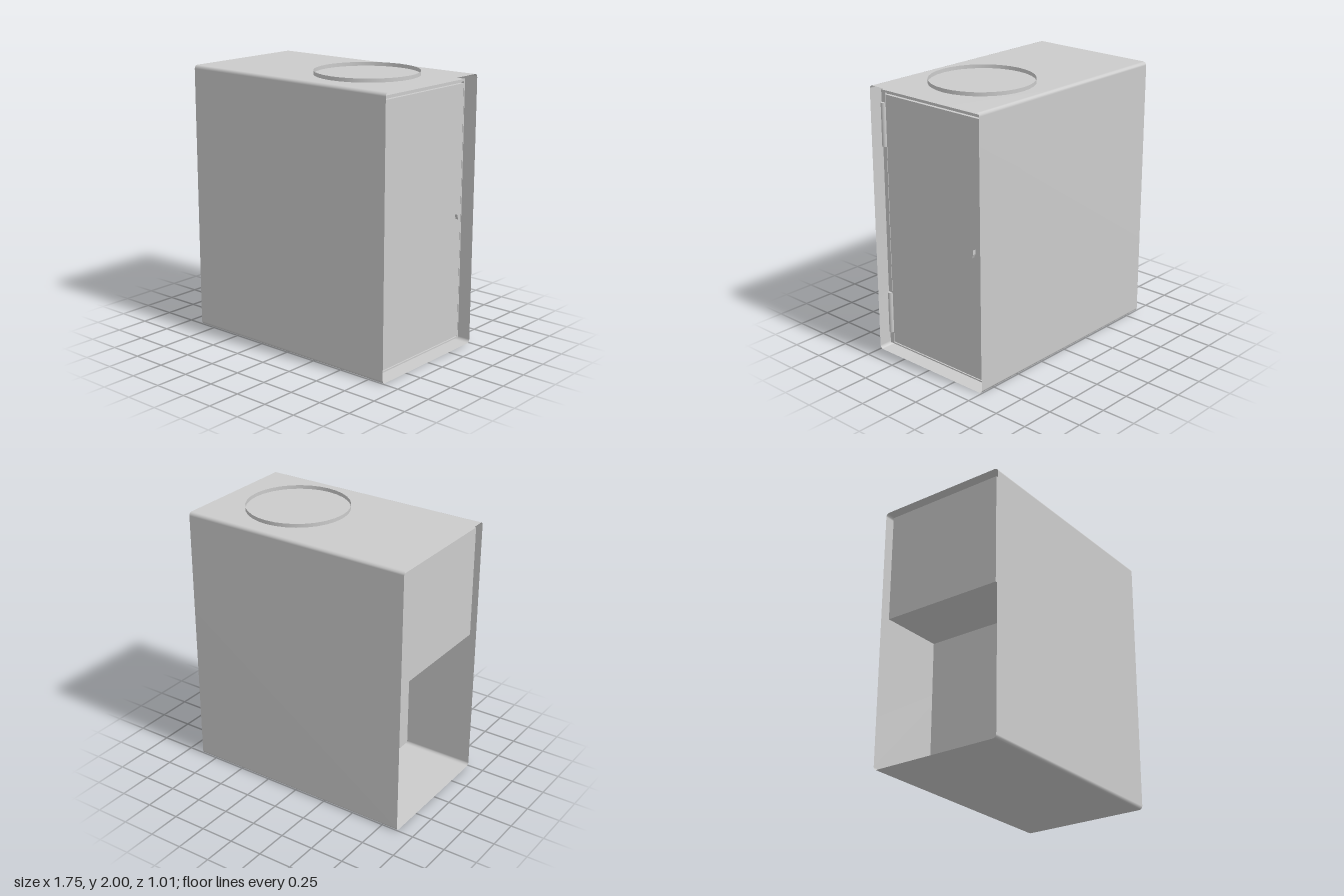
import * as THREE from 'three';

const mat = new THREE.MeshStandardMaterial({ color: 0xcccccc });
const thin = new THREE.MeshStandardMaterial({ color: 0xcccccc, side: THREE.DoubleSide });

function add(group, name, geometry, material = mat) {
  const mesh = new THREE.Mesh(geometry, material);
  mesh.name = name;
  group.add(mesh);
  return mesh;
}

// Box given by its lower and upper corners
function boxBetween(a, b) {
  const g = new THREE.BoxGeometry(b[0] - a[0], b[1] - a[1], b[2] - a[2]);
  return g.translate((a[0] + b[0]) / 2, (a[1] + b[1]) / 2, (a[2] + b[2]) / 2);
}

// Thin sleeve with rounded long edges, open at both x ends
function sleeve(halfX, height, halfZ, r, steps) {
  const pos = [], index = [];
  const corners = [[1, 1], [-1, 1], [-1, -1], [1, -1]]; // signs of z and y
  corners.forEach(([sz, sy], c) => {
    for (let i = 0; i <= steps; i++) {
      const t = (c + i / steps) * Math.PI / 2;
      const z = sz * (halfZ - r) + r * Math.cos(t);
      const y = height / 2 + sy * (height / 2 - r) + r * Math.sin(t);
      pos.push(-halfX, y, z, halfX, y, z);
    }
  });
  const n = pos.length / 6;
  for (let i = 0; i < n; i++) {
    const a = 2 * i, b = 2 * ((i + 1) % n);
    index.push(a, a + 1, b, a + 1, b + 1, b);
  }
  const g = new THREE.BufferGeometry();
  g.setAttribute('position', new THREE.Float32BufferAttribute(pos, 3));
  g.setIndex(index);
  g.computeVertexNormals();
  return g;
}

function rectangle(Type, x0, y0, x1, y1) {
  const p = new Type();
  p.moveTo(x0, y0);
  p.lineTo(x1, y0);
  p.lineTo(x1, y1);
  p.lineTo(x0, y1);
  p.closePath();
  return p;
}

export function createModel() {
  const model = new THREE.Group();
  model.name = 'cabinet';

  // Outer casing and the open collar on its top
  add(model, 'casing', sleeve(0.875, 1.973, 0.505, 0.025, 3), thin);
  const collar = add(model, 'topCollar',
    new THREE.CylinderGeometry(0.37, 0.37, 0.032, 32, 1, true), thin);
  collar.position.set(0.31, 1.984, 0);

  // Inner compartments
  add(model, 'mainCompartment', boxBetween([-0.355, 0.035, -0.46], [0.785, 1.935, 0.47]));
  add(model, 'upperCompartment', boxBetween([-0.845, 1.115, -0.46], [-0.355, 1.935, 0.47]));

  // Door frame with a narrow gap around the door
  const frame = rectangle(THREE.Shape, -0.47, 0.035, 0.46, 1.935);
  frame.holes.push(rectangle(THREE.Path, -0.435, 0.045, 0.45, 1.92));
  const frameGeo = new THREE.ExtrudeGeometry(frame, { depth: 0.02, bevelEnabled: false });
  frameGeo.rotateY(Math.PI / 2).translate(0.785, 0, 0);
  add(model, 'doorFrame', frameGeo);
  add(model, 'door', boxBetween([0.785, 0.056, -0.44], [0.81, 1.908, 0.425]));

  // Hinges
  for (const y of [0.285, 1.692]) {
    const hinge = add(model, 'hinge', new THREE.CylinderGeometry(0.018, 0.018, 0.312, 12));
    hinge.position.set(0.808, y, 0.451);
  }

  // Small pointed latch
  const latch = new THREE.Shape([[0.372, 0.985], [0.385, 0.948], [0.397, 0.975], [0.397, 1.008]]
    .map(([x, y]) => new THREE.Vector2(x, y)));
  const latchGeo = new THREE.ExtrudeGeometry(latch, { depth: 0.022, bevelEnabled: false });
  latchGeo.rotateY(Math.PI / 2).translate(0.81, 0, 0);
  add(model, 'latch', latchGeo);

  return model;
}
